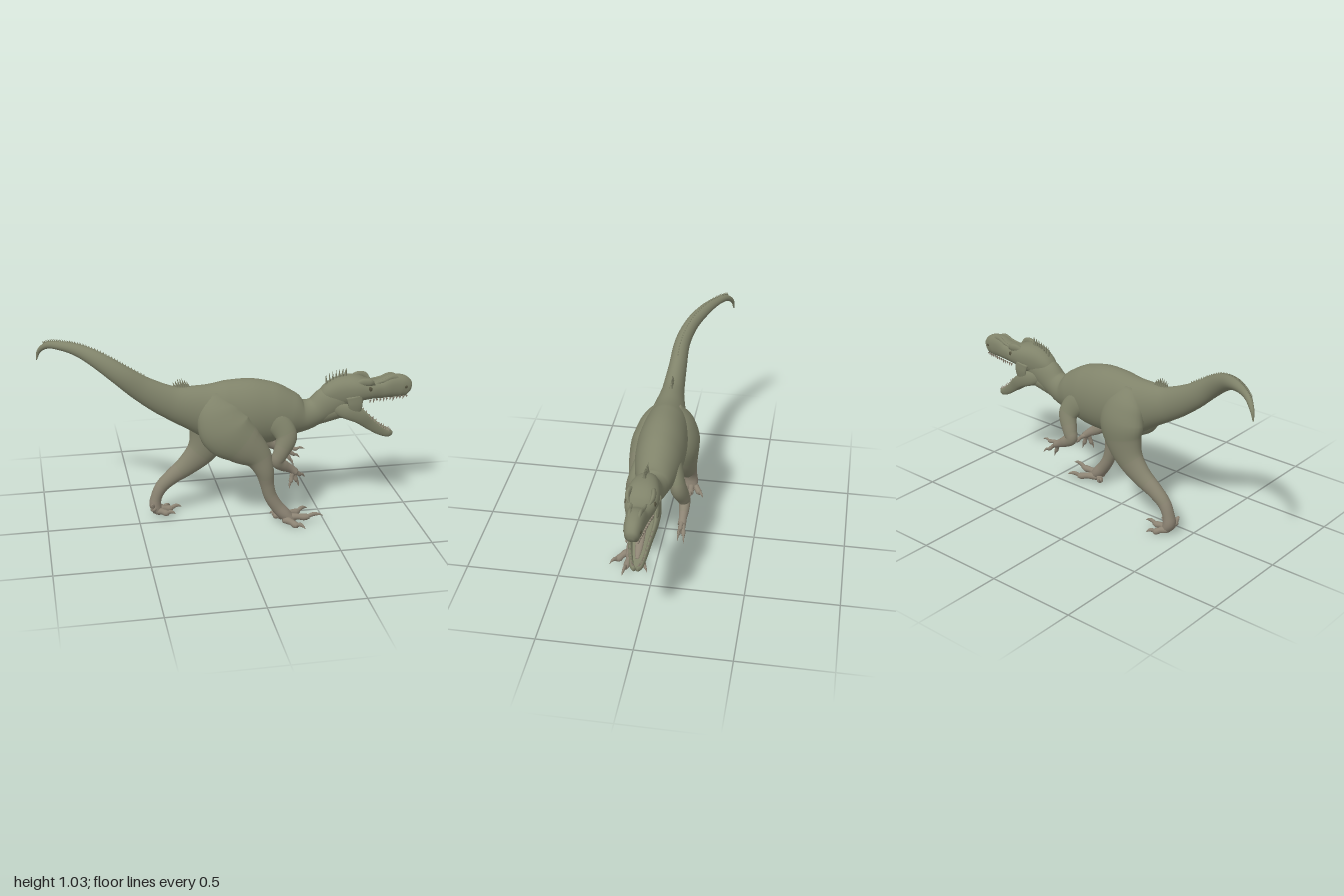
import * as THREE from 'three';

const tone = k => new THREE.MeshStandardMaterial({ color: new THREE.Color(0x80836a).lerp(new THREE.Color(0x8d8474), k) });
const olive = tone(0), tan = tone(1);
const dark = new THREE.MeshStandardMaterial({ color: 0x55533f });
const limbTones = [olive, olive, tone(0.2), tone(0.4), tone(0.6), tone(0.8), tan, tan];
const V = (x, y, z) => new THREE.Vector3(x, y, z);

// Smooth skin over stations [x, y, z, half height, half width]; q < 1 squares the section.
// A list of materials is spread in bands along the length.
function loft(name, stations, mat, { rows = 6, sides = 24, q = 1 } = {}) {
  const path = new THREE.CatmullRomCurve3(stations.map(s => V(s[0], s[1], s[2])));
  const size = new THREE.CatmullRomCurve3(stations.map(s => V(s[3], s[4], 0)));
  const pow = v => Math.sign(v) * Math.abs(v) ** q;
  const at = (t, ang) => {
    const c = path.getPoint(t), r = size.getPoint(t), dir = path.getTangent(t);
    const side = V(0, 0, 1).addScaledVector(dir, -dir.z).normalize();
    const up = side.clone().cross(dir);
    return c.addScaledVector(up, r.x * pow(Math.cos(ang))).addScaledVector(side, r.y * pow(Math.sin(ang)));
  };
  const n = rows * (stations.length - 1), pos = [], idx = [], mats = [mat].flat();
  const g = new THREE.BufferGeometry();
  for (let i = 0; i <= n; i++)
    for (let j = 0; j < sides; j++) pos.push(...at(i / n, j / sides * Math.PI * 2).toArray());
  for (let i = 0; i < n; i++) {
    g.addGroup(idx.length, sides * 6, Math.floor(i / n * mats.length));
    for (let j = 0; j < sides; j++) {
      const a = i * sides + j, b = i * sides + (j + 1) % sides;
      idx.push(a, b, a + sides, b, b + sides, a + sides);
    }
  }
  // end caps
  const k = pos.length / 3, last = n * sides;
  pos.push(...path.getPoint(0).toArray(), ...path.getPoint(1).toArray());
  g.addGroup(idx.length, sides * 6, mats.length - 1);
  for (let j = 0; j < sides; j++) {
    const m = (j + 1) % sides;
    idx.push(k, m, j, k + 1, last + j, last + m);
  }
  g.setAttribute('position', new THREE.Float32BufferAttribute(pos, 3));
  g.setIndex(idx);
  g.computeVertexNormals();
  const mesh = new THREE.Mesh(g, mats);
  mesh.name = name;
  mesh.userData.at = at;
  return mesh;
}

// Cone from a base point to a tip: teeth, spines and quills
function spike(name, base, tip, r, mat) {
  const d = tip.clone().sub(base), len = d.length();
  const mesh = new THREE.Mesh(new THREE.ConeGeometry(r, len, 6), mat);
  mesh.name = name;
  mesh.position.copy(base).addScaledVector(d, 0.5);
  mesh.quaternion.setFromUnitVectors(V(0, 1, 0), d.normalize());
  return mesh;
}

function ball(name, p, s, mat) {
  const mesh = new THREE.Mesh(new THREE.SphereGeometry(1, 20, 14), mat);
  mesh.name = name;
  mesh.position.set(...p);
  mesh.scale.set(...s);
  return mesh;
}

// Toe or finger: arched, knuckled, ending in a hooked claw
function digit(name, a, b, r, arch) {
  const p = (t, h) => [a[0] + (b[0] - a[0]) * t, a[1] + (b[1] - a[1]) * t + h, a[2] + (b[2] - a[2]) * t];
  const g = new THREE.Group();
  g.name = name;
  g.add(loft('flesh', [[...p(0, 0), r * 0.8, r * 0.8], [...p(0.2, arch * 0.4), r, r], [...p(0.38, arch * 0.3), r * 0.85, r * 0.85],
    [...p(0.52, 0), r * 0.95, r * 0.95], [...p(0.66, 0), r * 0.65, r * 0.65]], tan, { rows: 4, sides: 12 }));
  g.add(loft('claw', [[...p(0.6, 0), r * 0.6, r * 0.5], [...p(0.76, arch * 0.7), r * 0.6, r * 0.45],
    [...p(0.9, arch * 0.55), r * 0.35, r * 0.28], [...p(1, 0), 0.0005, 0.0005]], tan, { rows: 4, sides: 10 }));
  return g;
}

function limb(name, stations, root, tips, r, arch) {
  const g = new THREE.Group();
  g.name = name;
  g.add(loft('skin', stations, limbTones));
  tips.forEach((t, i) => g.add(digit('digit' + (i + 1), [root[0], root[1], root[2] + (t[2] - root[2]) * 0.2], t, r, arch)));
  return g;
}

export function createModel() {
  const model = new THREE.Group();
  model.name = 'theropod';

  // Tail, trunk and neck in one sweep
  const body = loft('body', [
    [-1, 0.905, -0.245, 0.003, 0.003], [-0.985, 0.955, -0.237, 0.011, 0.01], [-0.94, 0.995, -0.205, 0.018, 0.017],
    [-0.87, 1.003, -0.156, 0.024, 0.025], [-0.78, 0.99, -0.1, 0.034, 0.033], [-0.68, 0.945, -0.04, 0.046, 0.038],
    [-0.58, 0.878, -0.004, 0.056, 0.043], [-0.46, 0.79, 0.004, 0.07, 0.05], [-0.32, 0.712, 0.008, 0.09, 0.062],
    [-0.18, 0.668, 0.005, 0.13, 0.09], [-0.05, 0.636, 0, 0.175, 0.118], [0.1, 0.625, 0, 0.186, 0.13],
    [0.22, 0.613, 0, 0.17, 0.124], [0.32, 0.597, 0, 0.132, 0.106], [0.4, 0.585, 0, 0.09, 0.08],
    [0.47, 0.603, 0, 0.078, 0.066], [0.54, 0.645, 0, 0.092, 0.066], [0.62, 0.675, 0, 0.08, 0.066]], olive, { sides: 36, rows: 7 });
  model.add(body);
  model.add(ball('pelvicBulge', [0, 0.46, 0], [0.1, 0.055, 0.04], tan));
  model.add(loft('throat', [[0.42, 0.58, 0, 0.06, 0.05], [0.5, 0.593, 0, 0.062, 0.058], [0.58, 0.607, 0, 0.056, 0.062],
    [0.65, 0.607, 0, 0.04, 0.06], [0.7, 0.6, 0, 0.02, 0.05]], olive));

  // Spines along the tail
  for (let i = 0; i < 40; i++) {
    const t = 0.11 + i * 0.0073, base = body.userData.at(t, 0);
    const dir = base.clone().sub(body.userData.at(t, Math.PI)).normalize();
    dir.x -= 0.5;
    model.add(spike('tailSpine', base, base.clone().addScaledVector(dir, 0.012), 0.005, olive));
  }
  // Rump frill and nape quills
  for (let i = 0; i < 7; i++) {
    const x = -0.295 + i * 0.012, h = 0.02 + 0.02 * Math.sin(i / 6 * Math.PI);
    model.add(spike('rumpSpine', V(x, 0.79, 0.005), V(x - 0.012, 0.803 + h, 0.005), 0.009, olive));
    const nx = 0.535 + i * 0.016, ny = 0.71 + i * 0.012;
    model.add(spike('napeQuill', V(nx, ny, 0), V(nx - 0.012 + i * 0.003, ny + 0.105 - i * 0.007, 0), 0.012, olive));
  }

  // Skull and upper jaw
  const head = new THREE.Group();
  head.name = 'head';
  model.add(head);
  head.add(loft('skull', [
    [0.5, 0.645, 0, 0.04, 0.035], [0.55, 0.685, 0, 0.07, 0.058], [0.61, 0.708, 0, 0.083, 0.073], [0.68, 0.72, 0, 0.077, 0.084],
    [0.76, 0.713, 0, 0.054, 0.076], [0.83, 0.711, 0, 0.053, 0.056], [0.89, 0.722, 0, 0.064, 0.049], [0.945, 0.717, 0, 0.063, 0.045],
    [0.985, 0.7, 0, 0.046, 0.034], [0.999, 0.692, 0, 0.014, 0.014]], olive, { q: 0.85, sides: 28 }));

  // Jaw floor and tongue
  head.add(loft('jawFloor', [[0.6, 0.595, 0, 0.035, 0.055], [0.68, 0.56, 0, 0.02, 0.06], [0.76, 0.505, 0, 0.012, 0.046],
    [0.84, 0.452, 0, 0.009, 0.032], [0.895, 0.437, 0, 0.008, 0.02]], olive));
  head.add(loft('tongue', [[0.64, 0.62, 0, 0.025, 0.026], [0.74, 0.55, 0, 0.014, 0.024], [0.81, 0.497, 0, 0.011, 0.018],
    [0.86, 0.475, 0, 0.004, 0.008]], tan));

  for (const s of [1, -1]) {
    const rail = loft('jawSide', [[0.54, 0.64, 0.03 * s, 0.03, 0.02], [0.62, 0.615, 0.062 * s, 0.042, 0.02],
      [0.7, 0.575, 0.067 * s, 0.036, 0.014], [0.77, 0.517, 0.05 * s, 0.029, 0.011], [0.84, 0.466, 0.034 * s, 0.022, 0.01],
      [0.885, 0.446, 0.02 * s, 0.018, 0.011], [0.906, 0.446, 0.006 * s, 0.012, 0.008]], olive, { sides: 16 });
    head.add(rail);
    // cheek skin stretched across the gape
    head.add(loft('cheek', [[0.665, 0.7, 0.074 * s, 0.045, 0.012], [0.672, 0.65, 0.078 * s, 0.04, 0.009],
      [0.665, 0.585, 0.062 * s, 0.035, 0.012]], olive, { sides: 14 }));
    head.add(ball('eye', [0.752, 0.732, 0.07 * s], [0.014, 0.014, 0.008], dark));
    head.add(loft('browHorn', [[0.68, 0.765, 0.05 * s, 0.012, 0.014], [0.72, 0.772, 0.06 * s, 0.022, 0.013],
      [0.755, 0.768, 0.062 * s, 0.02, 0.012], [0.785, 0.75, 0.05 * s, 0.004, 0.004]], olive, { sides: 12 }));
    head.add(loft('nasalRidge', [[0.79, 0.752, 0.036 * s, 0.006, 0.006], [0.84, 0.76, 0.03 * s, 0.011, 0.009],
      [0.89, 0.775, 0.025 * s, 0.015, 0.01], [0.94, 0.76, 0.022 * s, 0.008, 0.007]], olive, { sides: 12 }));
    head.add(ball('nostril', [0.962, 0.722, 0.039 * s], [0.012, 0.009, 0.004], dark));

    // Teeth of both jaws
    for (let i = 0; i < 12; i++) {
      const x = 0.76 + i * 0.0195, z = (0.062 - i * 0.0031) * s, len = 0.01 + 0.005 * Math.sin(i * 2.1);
      head.add(spike('upperTooth', V(x, 0.67, z), V(x - 0.004, 0.66 - len, z), 0.006, tan));
      const b = rail.userData.at(0.42 + i * 0.045, 0);
      head.add(spike('lowerTooth', b, V(b.x + 0.004, b.y + len, b.z), 0.005, tan));
    }
  }

  // Left leg, striding forward
  model.add(limb('leftLeg', [
    [-0.09, 0.75, 0.03, 0.05, 0.04], [-0.075, 0.66, 0.076, 0.12, 0.07], [-0.035, 0.565, 0.102, 0.145, 0.083],
    [0.05, 0.485, 0.112, 0.115, 0.076], [0.13, 0.41, 0.115, 0.077, 0.062], [0.165, 0.33, 0.128, 0.052, 0.048],
    [0.18, 0.25, 0.127, 0.038, 0.038], [0.198, 0.18, 0.126, 0.035, 0.036], [0.23, 0.12, 0.126, 0.035, 0.037],
    [0.27, 0.07, 0.127, 0.036, 0.042], [0.31, 0.036, 0.13, 0.027, 0.038], [0.345, 0.028, 0.13, 0.008, 0.015]],
  [0.27, 0.035, 0.13], [[0.49, 0.045, 0.155], [0.37, 0.018, 0.245], [0.43, 0.035, 0.03], [0.21, 0.04, 0.07]], 0.02, 0.018));

  // Right leg, trailing
  model.add(limb('rightLeg', [
    [-0.09, 0.75, -0.03, 0.05, 0.04], [-0.085, 0.66, -0.074, 0.115, 0.068], [-0.08, 0.565, -0.097, 0.135, 0.077],
    [-0.095, 0.47, -0.1, 0.115, 0.068], [-0.14, 0.375, -0.1, 0.085, 0.056], [-0.22, 0.295, -0.098, 0.06, 0.046],
    [-0.305, 0.235, -0.093, 0.044, 0.04], [-0.366, 0.18, -0.09, 0.036, 0.035], [-0.396, 0.12, -0.09, 0.031, 0.034],
    [-0.403, 0.07, -0.09, 0.033, 0.038], [-0.385, 0.036, -0.09, 0.026, 0.036], [-0.35, 0.028, -0.09, 0.008, 0.015]],
  [-0.405, 0.035, -0.09], [[-0.255, 0.042, -0.1], [-0.31, 0.018, -0.17], [-0.3, 0.035, -0.025], [-0.43, 0.09, -0.035]], 0.019, 0.016));

  // Arms
  model.add(limb('leftArm', [
    [0.14, 0.64, 0.075, 0.03, 0.02], [0.23, 0.595, 0.092, 0.065, 0.038], [0.285, 0.515, 0.113, 0.06, 0.044],
    [0.255, 0.43, 0.13, 0.043, 0.038], [0.235, 0.38, 0.13, 0.036, 0.032], [0.27, 0.345, 0.113, 0.032, 0.029],
    [0.315, 0.315, 0.097, 0.023, 0.023], [0.345, 0.29, 0.09, 0.02, 0.025]],
  [0.33, 0.298, 0.09], [[0.305, 0.205, 0.12], [0.365, 0.2, 0.09], [0.41, 0.23, 0.04]], 0.013, 0.014));
  model.add(limb('rightArm', [
    [0.14, 0.64, -0.075, 0.03, 0.02], [0.23, 0.595, -0.092, 0.065, 0.038], [0.285, 0.515, -0.112, 0.058, 0.042],
    [0.255, 0.43, -0.135, 0.042, 0.036], [0.24, 0.39, -0.142, 0.035, 0.031], [0.28, 0.36, -0.145, 0.031, 0.027],
    [0.325, 0.335, -0.145, 0.022, 0.021], [0.355, 0.32, -0.145, 0.019, 0.022]],
  [0.335, 0.327, -0.145], [[0.45, 0.32, -0.14], [0.43, 0.255, -0.165], [0.385, 0.23, -0.125]], 0.012, 0.012));

  return model;
}
